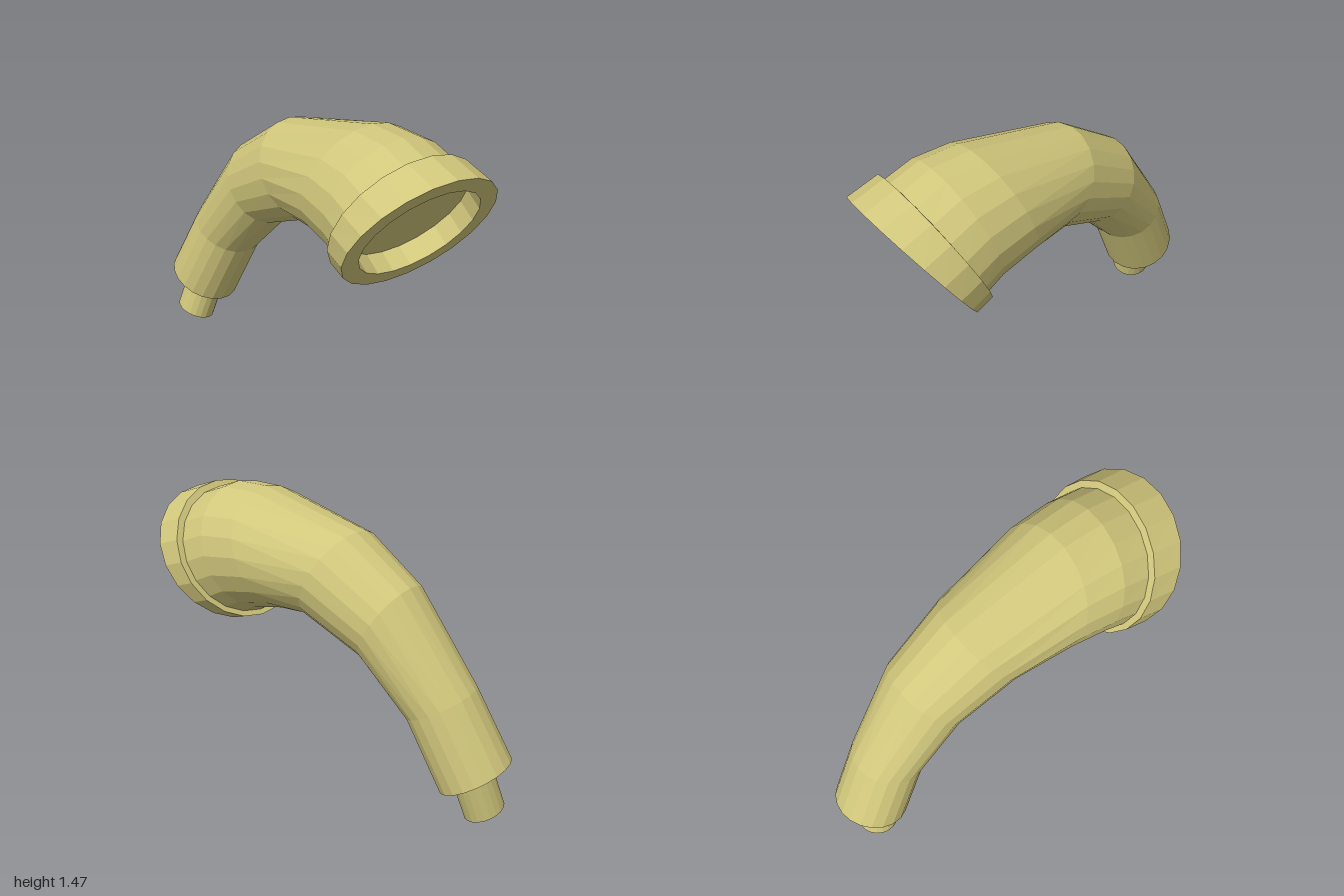
import * as THREE from 'three';

const SIDES = 20;
const material = new THREE.MeshStandardMaterial({ color: 0xd1c77c, flatShading: true, roughness: 0.8 });

// One cross-section: centre x, its top and bottom points in the z/y plane,
// sideways lean of its axis, and a scale (0 closes the end to a point).
function section([x, zTop, yTop, zBottom, yBottom, lean, scale = 1]) {
  const centre = new THREE.Vector3(x, (yTop + yBottom) / 2, (zTop + zBottom) / 2);
  const up = new THREE.Vector3(0, (yTop - yBottom) / 2, (zTop - zBottom) / 2);
  const radius = up.length();
  const side = new THREE.Vector3(1, lean * up.z / radius, -lean * up.y / radius).setLength(radius);
  const points = [];
  for (let i = 0; i < SIDES; i++) {
    const t = (i / SIDES) * Math.PI * 2;
    points.push(centre.clone()
      .addScaledVector(up, Math.cos(t) * scale)
      .addScaledVector(side, Math.sin(t) * scale));
  }
  return { points, closed: scale === 0 };
}

// Skin a row of cross-sections, ordered from the front of the part to its back.
function loft(name, rows) {
  const sections = rows.map(section);
  const positions = [];
  const tri = (...corners) => corners.forEach((p) => positions.push(p.x, p.y, p.z));
  for (let s = 0; s < sections.length - 1; s++) {
    const near = sections[s], far = sections[s + 1];
    for (let i = 0; i < SIDES; i++) {
      const j = (i + 1) % SIDES;
      if (!near.closed) tri(near.points[i], near.points[j], far.points[i]);
      if (!far.closed) tri(near.points[j], far.points[j], far.points[i]);
    }
  }
  const geometry = new THREE.BufferGeometry();
  geometry.setAttribute('position', new THREE.Float32BufferAttribute(positions, 3));
  geometry.computeVertexNormals();
  const mesh = new THREE.Mesh(geometry, material);
  mesh.name = name;
  return mesh;
}

export function createModel() {
  const group = new THREE.Group();
  group.name = 'showerHead';

  // Collar with a recessed face, a flat lip and a ledge behind
  const front = [0, 1.0, 1.38, 0.57, 0.74, -0.05];
  const face = [0.005, 0.91, 1.44, 0.48, 0.8, -0.05];
  const neckStart = [0, 0.81, 1.405, 0.505, 0.79, -0.06];
  group.add(loft('collar', [
    [...face, 0],
    [...face, 0.78],
    [...front, 0.78],
    front,
    [0, 0.83, 1.435, 0.49, 0.765, -0.06],
    neckStart,
  ]));

  // Curved, tapering handle with a flat end
  const end = [-0.17, -1.0, 0.33, -0.66, 0.155, 0.2];
  group.add(loft('handle', [
    neckStart,
    [0, 0.65, 1.46, 0.43, 0.83, -0.04],
    [0, 0.44, 1.465, 0.23, 0.875, 0],
    [-0.025, -0.17, 1.335, 0.07, 0.88, 0.06],
    [-0.05, -0.49, 1.125, -0.26, 0.745, 0.12],
    [-0.11, -0.82, 0.67, -0.49, 0.5, 0.17],
    end,
    [...end, 0],
  ]));

  // Hose connector
  const tip = [-0.23, -0.95, 0.065, -0.75, 0.01, 0.3];
  group.add(loft('hoseConnector', [
    [-0.15, -0.9, 0.335, -0.7, 0.28, 0.3],
    tip,
    [...tip, 0],
  ]));

  return group;
}
